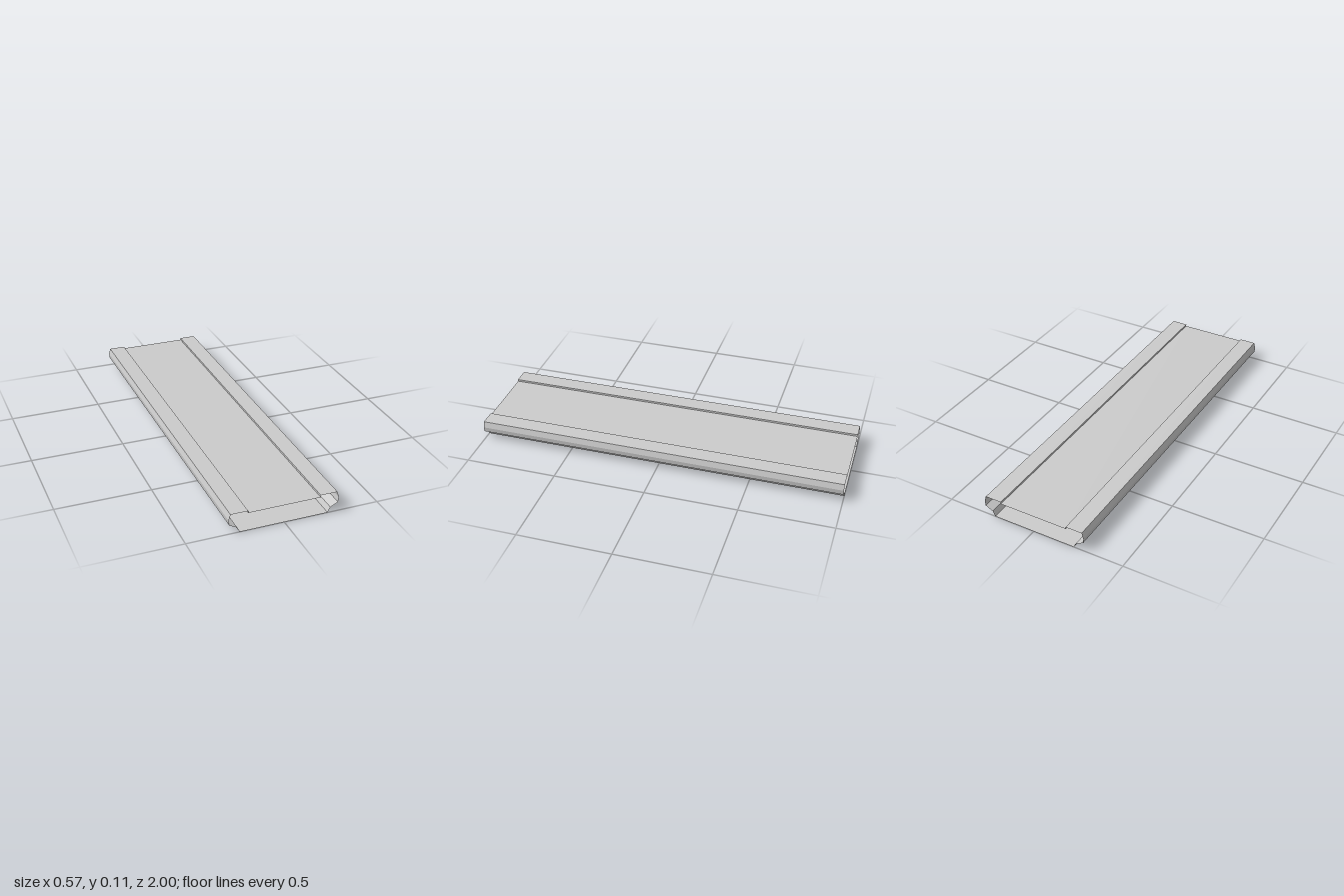
import * as THREE from 'three';

const material = new THREE.MeshStandardMaterial({ color: 0xcccccc, flatShading: true, side: THREE.DoubleSide });

// Sweeps an open [x, y] profile straight along z as a thin sheet with sharp folds.
function sheet(name, profile, length = 2) {
  const pos = [];
  const h = length / 2;
  for (let i = 0; i < profile.length - 1; i++) {
    const [ax, ay] = profile[i];
    const [bx, by] = profile[i + 1];
    pos.push(ax, ay, h, ax, ay, -h, bx, by, -h);
    pos.push(ax, ay, h, bx, by, -h, bx, by, h);
  }
  const geometry = new THREE.BufferGeometry();
  geometry.setAttribute('position', new THREE.Float32BufferAttribute(pos, 3));
  geometry.computeVertexNormals();
  const mesh = new THREE.Mesh(geometry, material);
  mesh.name = name;
  return mesh;
}

export function createModel() {
  const model = new THREE.Group();
  model.name = 'hollowPlank';

  // Side rail: floor edge, recessed foot, underside lip, bulged outer wall, top flange, step down to panel
  const rail = [
    [0.23, 0], [0.243, 0.028], [0.283, 0.048], [0.286, 0.075],
    [0.277, 0.107], [0.188, 0.107], [0.188, 0.096],
  ];
  const mirrored = rail.map(([x, y]) => [-x, y]).reverse();

  model.add(sheet('leftRail', rail));
  model.add(sheet('rightRail', mirrored));

  // Recessed top panel and flat floor, with both ends left open
  model.add(sheet('topPanel', [[0.188, 0.096], [-0.188, 0.096]]));
  model.add(sheet('floor', [[-0.23, 0], [0.23, 0]]));

  return model;
}
